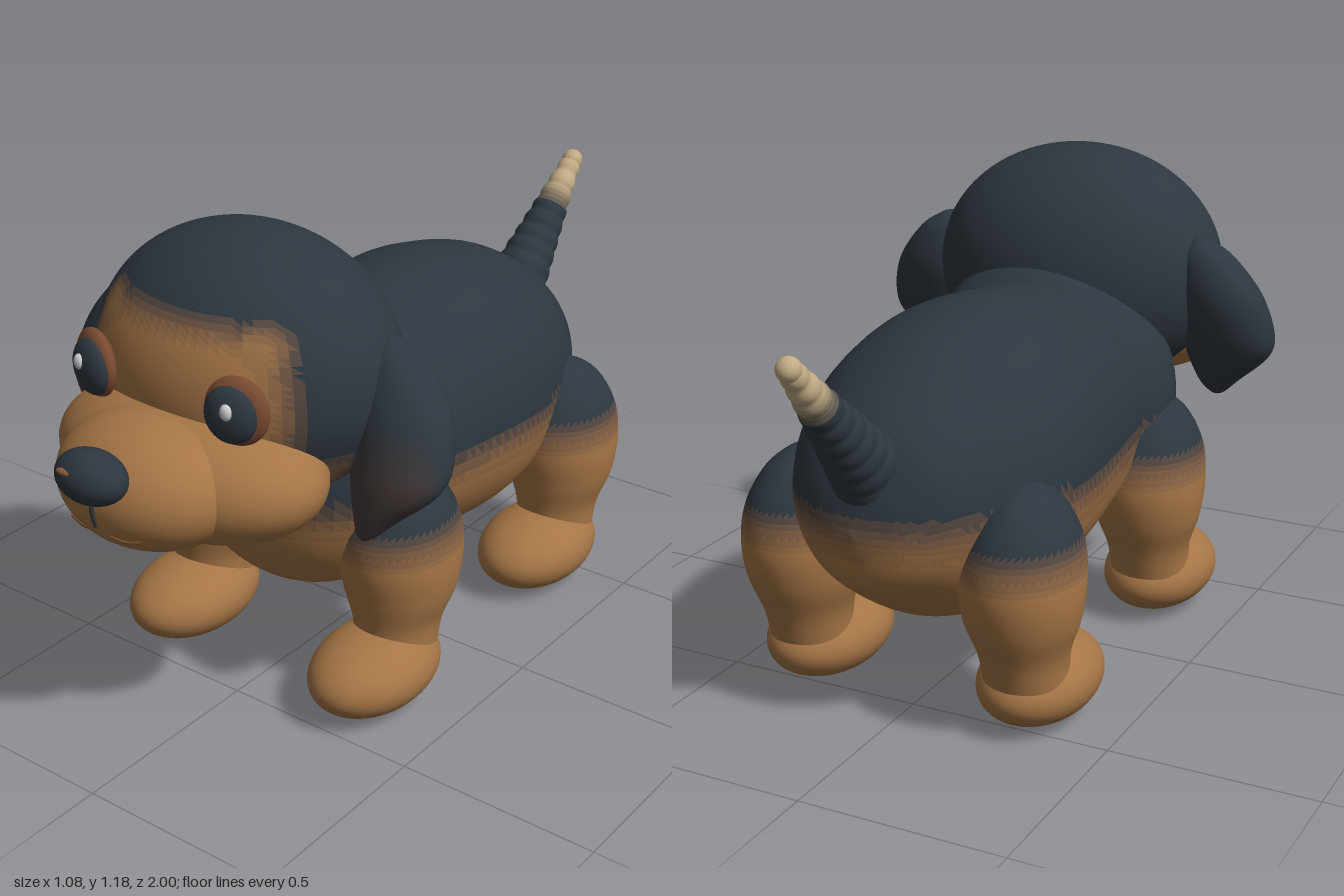
import * as THREE from 'three';

const DARK = new THREE.Color(0x2e373f), TAN = new THREE.Color(0xa57546), CREAM = new THREE.Color(0xc2ab84);
const { smoothstep } = THREE.MathUtils;
const fade = (v, from, to) => (from < to ? smoothstep(v, from, to) : 1 - smoothstep(v, to, from));

function solid(name, geometry, color) {
  const mesh = new THREE.Mesh(geometry, new THREE.MeshStandardMaterial({ color }));
  mesh.name = name;
  return mesh;
}

// Ellipsoid with its centre and three radii
function ball(c, r, turn = 0, w = 48, h = 36) {
  return new THREE.SphereGeometry(1, w, h).scale(...r).rotateY(turn).translate(...c);
}

// Smooth skin through elliptical sections [height, cx, cz, rx, rz] stacked along y
function loft(rows, around = 48, steps = 48) {
  const centre = new THREE.CatmullRomCurve3(rows.map(([y, cx, cz]) => new THREE.Vector3(cx, y, cz)), false, 'catmullrom');
  const radius = new THREE.CatmullRomCurve3(rows.map(([, , , rx, rz]) => new THREE.Vector3(rx, 0, rz)), false, 'catmullrom');
  const pos = [], index = [];
  for (let i = 0; i <= steps; i++) {
    const c = centre.getPoint(i / steps), r = radius.getPoint(i / steps);
    for (let j = 0; j < around; j++) {
      const a = (j / around) * Math.PI * 2;
      pos.push(c.x + Math.max(r.x, 0) * Math.sin(a), c.y, c.z + Math.max(r.z, 0) * Math.cos(a));
      if (i === steps) continue;
      const k = i * around + j, n = i * around + ((j + 1) % around);
      index.push(k, n, n + around, k, n + around, k + around);
    }
  }
  const g = new THREE.BufferGeometry();
  g.setAttribute('position', new THREE.Float32BufferAttribute(pos, 3));
  g.setIndex(index);
  g.computeVertexNormals();
  return g;
}

// Splits a surface into bands of colour between two coats; rule(x, y, z) gives 0..1
function coat(name, geometry, rule, from = DARK, to = TAN, bands = 7) {
  const group = new THREE.Group();
  group.name = name;
  const p = geometry.attributes.position, idx = geometry.index.array;
  const lists = Array.from({ length: bands }, () => []);
  for (let i = 0; i < idx.length; i += 3) {
    const t = [idx[i], idx[i + 1], idx[i + 2]];
    const mid = (get) => t.reduce((s, v) => s + p[get](v), 0) / 3;
    const k = Math.round(rule(mid('getX'), mid('getY'), mid('getZ')) * (bands - 1));
    lists[k].push(...t);
  }
  lists.forEach((list, k) => {
    if (!list.length) return;
    const part = geometry.clone().setIndex(list).toNonIndexed();
    group.add(solid(`${name}Band${k + 1}`, part, from.clone().lerp(to, k / (bands - 1))));
  });
  return group;
}

function tube(points, r) {
  return new THREE.TubeGeometry(new THREE.CatmullRomCurve3(points.map((q) => new THREE.Vector3(...q))), 12, r, 8);
}

export function createModel() {
  const dog = new THREE.Group();
  dog.name = 'puppy';
  const belly = (x, y) => fade(y, 0.59, 0.43);

  // Trunk: sections run along z, so the loft is tipped over onto its side
  const trunk = loft([
    [-0.755, 0, -0.52, 0, 0], [-0.745, 0, -0.52, 0.06, 0.06], [-0.72, 0, -0.525, 0.13, 0.135],
    [-0.65, 0, -0.545, 0.215, 0.215], [-0.5, 0, -0.545, 0.3, 0.31], [-0.35, 0, -0.55, 0.34, 0.35],
    [-0.2, 0, -0.555, 0.345, 0.365], [0, 0, -0.56, 0.325, 0.34], [0.15, 0, -0.565, 0.3, 0.31],
    [0.3, 0, -0.565, 0.24, 0.24], [0.4, 0, -0.565, 0, 0],
  ], 64, 64).rotateX(Math.PI / 2);
  dog.add(coat('trunk', trunk, belly));
  dog.add(coat('chest', ball([0, 0.58, 0.22], [0.34, 0.36, 0.285]), belly));

  // Skull with a tan face mask and lower jaw line
  dog.add(coat('skull', ball([0, 0.87, 0.42], [0.38, 0.315, 0.3], 0, 80, 60), (x, y, z) => {
    const mask = fade(z, 0.58, 0.67) * fade(y, 1.09, 0.99);
    const jaw = fade(y, 0.78, 0.66) * fade(z, 0.4, 0.55);
    const brow = 0.8 * fade(Math.hypot(Math.abs(x) - 0.2, y - 0.99), 0.09, 0.03) * fade(z, 0.5, 0.6);
    return Math.max(mask, jaw, brow);
  }));

  // Muzzle, nose and mouth
  dog.add(solid('cheeks', ball([0, 0.7, 0.625], [0.35, 0.167, 0.22]), TAN));
  dog.add(solid('snout', ball([0, 0.705, 0.76], [0.225, 0.15, 0.18]), TAN));
  dog.add(solid('nose', ball([0, 0.78, 0.935], [0.09, 0.06, 0.063]), DARK));
  dog.add(solid('noseGleam', ball([-0.025, 0.803, 0.985], [0.025, 0.008, 0.01], 0, 16, 12), 0x8a5a3c));
  dog.add(solid('philtrum', tube([[0, 0.74, 0.938], [0, 0.7, 0.94], [0, 0.66, 0.931]], 0.006), DARK));

  for (const [side, s] of [['left', 1], ['right', -1]]) {
    dog.add(solid(side + 'MouthLine',
      tube([[s * 0.03, 0.64, 0.92], [s * 0.065, 0.633, 0.91], [s * 0.1, 0.64, 0.902]], 0.004), 0x7a5230));

    // Eye, rim and highlight
    dog.add(solid(side + 'EyeRim', ball([s * 0.203, 0.9, 0.7], [0.074, 0.08, 0.03], s * 0.3), 0x7a4a32));
    dog.add(solid(side + 'Eye', ball([s * 0.2, 0.897, 0.716], [0.062, 0.067, 0.034], s * 0.25), DARK));
    dog.add(solid(side + 'EyeHighlight', ball([s * 0.21, 0.915, 0.744], [0.015, 0.019, 0.012], 0, 16, 12), 0xe4e4e4));

    // Drooping ear, sections from tip to root
    const ear = loft([
      [0.545, s * 0.37, 0.48, 0, 0], [0.555, s * 0.372, 0.475, 0.02, 0.02], [0.6, s * 0.385, 0.45, 0.055, 0.055],
      [0.68, s * 0.415, 0.425, 0.11, 0.082], [0.75, s * 0.42, 0.405, 0.12, 0.092], [0.85, s * 0.395, 0.38, 0.115, 0.09],
      [0.94, s * 0.37, 0.365, 0.07, 0.062], [0.98, s * 0.355, 0.36, 0.025, 0.025], [0.99, s * 0.35, 0.36, 0, 0],
    ]);
    dog.add(coat(side + 'Ear', ear, (x, y, z) => fade(z, 0.42, 0.48) * fade(y, 0.85, 0.7), DARK, new THREE.Color(0x443a38)));

    // Legs and paws, front and hind alike
    for (const [end, z] of [['Front', 0], ['Hind', -0.725]]) {
      const cx = s * 0.287;
      const leg = loft([
        [0.1, cx, z + 0.25, 0.1, 0.1], [0.2, cx, z + 0.235, 0.104, 0.115], [0.29, cx, z + 0.225, 0.132, 0.145],
        [0.38, cx, z + 0.225, 0.141, 0.165], [0.47, cx, z + 0.23, 0.13, 0.158], [0.55, cx, z + 0.235, 0.09, 0.115],
        [0.595, cx, z + 0.238, 0.04, 0.055], [0.61, cx, z + 0.24, 0, 0],
      ]);
      dog.add(coat(side + end + 'Leg', leg, (x, y) => fade(y, 0.51, 0.37)));
      dog.add(solid(side + end + 'Paw', ball([cx - s * 0.002, 0.103, z + 0.325], [0.137, 0.1, 0.195]), TAN));
    }
  }

  // Tail: tapering cone with soft rings and a pale tip
  const length = 0.445, profile = [new THREE.Vector2(0, 0)];
  for (let i = 0; i <= 72; i++) {
    const t = i / 72;
    profile.push(new THREE.Vector2(0.088 - 0.066 * t ** 0.9 + 0.005 * Math.abs(Math.sin(t * Math.PI * 10)), t * length));
  }
  const tail = coat('tail', new THREE.LatheGeometry(profile, 32), (x, y) => fade(y / length, 0.62, 0.86), DARK, CREAM);
  tail.add(solid('tailTip', ball([0, length, 0], [0.028, 0.028, 0.028], 0, 24, 16), CREAM));
  tail.position.set(0, 0.635, -0.665);
  tail.rotation.x = -0.76;
  dog.add(tail);

  return dog;
}
